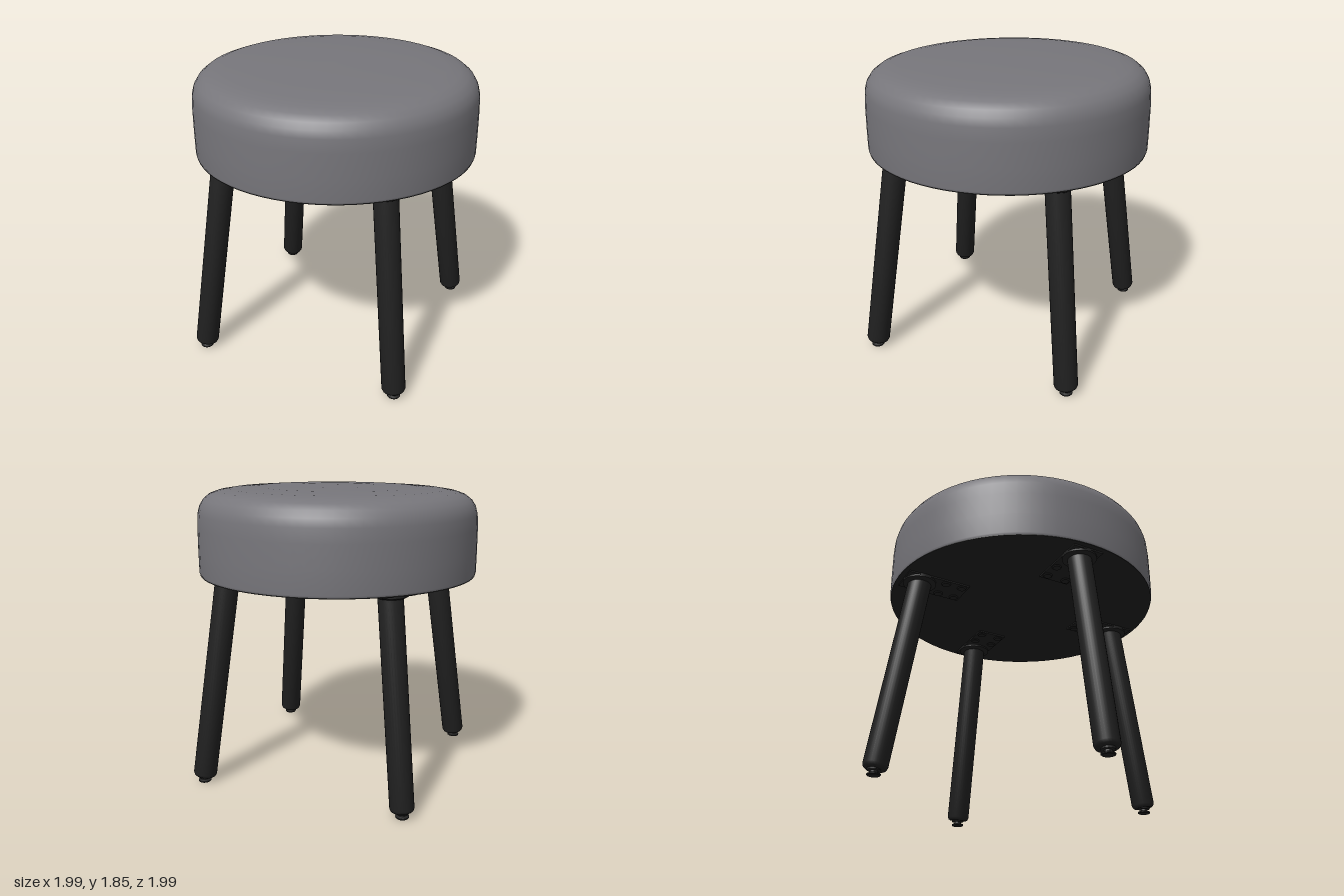
import * as THREE from 'three';
import { toCreasedNormals } from 'three/addons/utils/BufferGeometryUtils.js';

const fabric = new THREE.MeshStandardMaterial({ color: 0x77767b });
fabric.name = 'grey fabric';
const black = new THREE.MeshStandardMaterial({ color: 0x222222 });
black.name = 'black metal';

function part(parent, name, geometry, material, x = 0, y = 0, z = 0) {
  const mesh = new THREE.Mesh(geometry, material);
  mesh.name = name;
  mesh.position.set(x, y, z);
  parent.add(mesh);
  return mesh;
}

function turned(points, sides) {
  const profile = points.map(([r, y]) => new THREE.Vector2(r, y));
  return toCreasedNormals(new THREE.LatheGeometry(profile, sides), 0.6);
}

// Padded cushion whose crown leans very slightly to one side
function cushionGeometry() {
  const geometry = new THREE.LatheGeometry([
    [0.872, 1.305], [0.879, 1.32], [0.88, 1.45], [0.879, 1.6], [0.874, 1.68],
    [0.862, 1.725], [0.838, 1.763], [0.8, 1.793], [0.75, 1.811], [0.67, 1.824],
    [0.5, 1.836], [0.25, 1.843], [0, 1.845],
  ].map(([r, y]) => new THREE.Vector2(r, y)), 72);
  const p = geometry.attributes.position;
  for (let i = 0; i < p.count; i++) {
    const lift = THREE.MathUtils.smoothstep(p.getY(i), 1.6, 1.82);
    p.setY(i, p.getY(i) + lift * 0.009 * (p.getX(i) - p.getZ(i)));
  }
  geometry.computeVertexNormals();
  // Match the normals on both sides of the lathe seam
  const n = geometry.attributes.normal, rows = 13, last = 72 * rows;
  for (let j = 0; j < rows; j++) {
    const a = new THREE.Vector3().fromBufferAttribute(n, j);
    a.add(new THREE.Vector3().fromBufferAttribute(n, last + j)).normalize();
    n.setXYZ(j, a.x, a.y, a.z);
    n.setXYZ(last + j, a.x, a.y, a.z);
  }
  return geometry;
}

// One leg, leaning outward along +x
function makeLeg() {
  const leg = new THREE.Group();
  const top = new THREE.Vector3(0.732, 1.302, 0);
  const foot = new THREE.Vector3(0.928, 0.037, 0);
  const axis = top.clone().sub(foot);
  const length = axis.length();

  const tube = part(leg, 'legTube', turned([
    [0, 0], [0.057, 0], [0.066, 0.006], [0.073, 0.022], [0.074, length], [0, length],
  ], 28), black, foot.x, foot.y, foot.z);
  tube.quaternion.setFromUnitVectors(new THREE.Vector3(0, 1, 0), axis.normalize());

  // Levelling foot
  part(leg, 'footPad', turned([
    [0, 0], [0.036, 0], [0.04, 0.004], [0.04, 0.01], [0.024, 0.017],
    [0.022, 0.027], [0.04, 0.03], [0.04, 0.045], [0, 0.045],
  ], 24), black, 0.93, 0, 0);

  // Mounting collar, plate and screws
  part(leg, 'collar', turned([
    [0, 1.272], [0.088, 1.272], [0.105, 1.282], [0.105, 1.304], [0, 1.304],
  ], 28), black, 0.735, 0, 0);
  part(leg, 'mountingPlate', new THREE.BoxGeometry(0.41, 0.012, 0.2), black, 0.635, 1.299, 0);
  for (const x of [0.47, 0.58])
    for (const z of [-0.065, 0.065])
      part(leg, 'screw', new THREE.CylinderGeometry(0.032, 0.025, 0.01, 14), black, x, 1.29, z);
  return leg;
}

export function createModel() {
  const stool = new THREE.Group();
  stool.name = 'stool';
  part(stool, 'cushion', cushionGeometry(), fabric);
  part(stool, 'seatBase', new THREE.CylinderGeometry(0.874, 0.874, 0.02, 72), black, 0, 1.313, 0);

  ['leftLeg', 'backLeg', 'rightLeg', 'frontLeg'].forEach((name, i) => {
    const leg = makeLeg();
    leg.name = name;
    leg.rotation.y = i * Math.PI / 2;
    stool.add(leg);
  });
  return stool;
}
